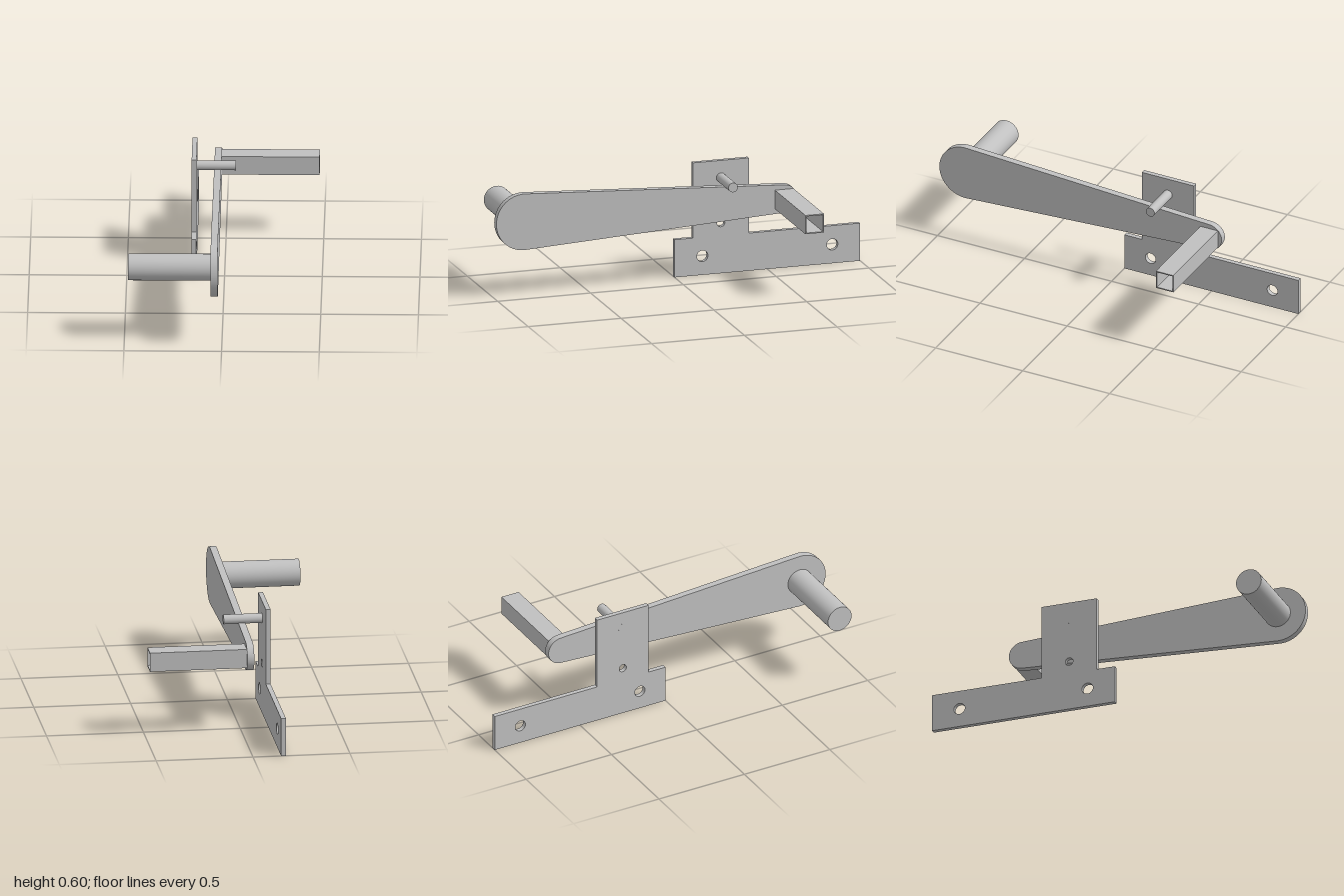
import * as THREE from 'three';

const steel = new THREE.MeshStandardMaterial({ color: 0xc0c0c0 });
steel.name = 'steel grey';

// Profiles are drawn with u = -z and v = y, then given thickness from x0 to x1.
function slab(name, shape, x0, x1) {
  const geometry = new THREE.ExtrudeGeometry(shape, { depth: x1 - x0, bevelEnabled: false, curveSegments: 32 });
  geometry.rotateY(Math.PI / 2).translate(x0, 0, 0);
  const mesh = new THREE.Mesh(geometry, steel);
  mesh.name = name;
  return mesh;
}

// Round bar lying along x
function bar(name, radius, x0, x1, y, z) {
  const geometry = new THREE.CylinderGeometry(radius, radius, x1 - x0, 48);
  geometry.rotateZ(Math.PI / 2);
  const mesh = new THREE.Mesh(geometry, steel);
  mesh.position.set((x0 + x1) / 2, y, z);
  mesh.name = name;
  return mesh;
}

function polygon(points) {
  return new THREE.Shape(points.map(([u, v]) => new THREE.Vector2(u, v)));
}

function square(u, v, half) {
  return [[u - half, v - half], [u + half, v - half], [u + half, v + half], [u - half, v + half]];
}

export function createModel() {
  const group = new THREE.Group();
  group.name = 'crankLever';
  const axisY = 0.403;

  // T-shaped mounting plate with screw holes
  const plate = polygon([[0, 0], [1, 0], [1, 0.2], [0.4, 0.2], [0.4, 0.6], [0.1, 0.6], [0.1, 0.2], [0, 0.2]]);
  for (const [u, v, r] of [[0.15, 0.1, 0.03], [0.85, 0.1, 0.03], [0.25, 0.268, 0.021]]) {
    plate.holes.push(new THREE.Path().absarc(u, v, r, 0, Math.PI * 2, true));
  }
  group.add(slab('mountingPlate', plate, -0.17, -0.145));

  // Stop pin through the plate
  group.add(bar('stopPin', 0.025, -0.1702, 0.055, 0.509, -0.25));

  // Tapered arm: two round ends joined by tangents
  const bigR = 0.149, smallR = 0.074, bigU = -0.851, smallU = 0.548;
  const a = Math.acos((bigR - smallR) / (smallU - bigU));
  const arm = new THREE.Shape();
  arm.absarc(bigU, axisY, bigR, a, Math.PI * 2 - a, false);
  arm.absarc(smallU, axisY, smallR, -a, a, false);
  group.add(slab('arm', arm, -0.057, -0.021));

  // Round handle on the wide end
  group.add(bar('handle', 0.069, -0.48, -0.03, axisY, 0.848));

  // Hollow square shaft on the narrow end
  const tube = polygon(square(0.55, axisY, 0.05));
  tube.holes.push(polygon(square(0.55, axisY, 0.044)));
  group.add(slab('squareShaft', tube, -0.021, 0.479));

  return group;
}
